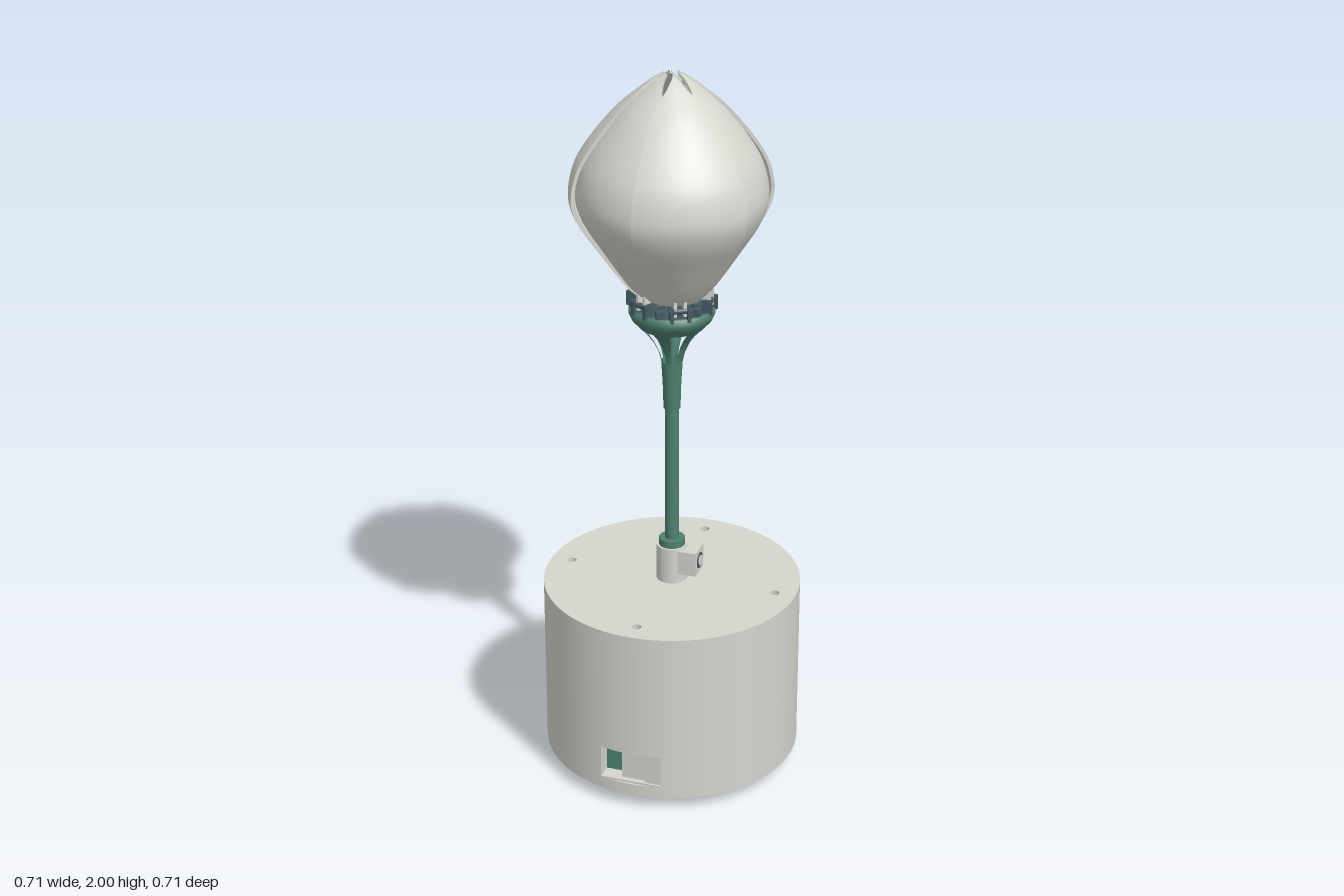
import * as THREE from 'three';
import { toCreasedNormals } from 'three/addons/utils/BufferGeometryUtils.js';

const mat = (name, color) => {
  const m = new THREE.MeshStandardMaterial({ color, side: THREE.DoubleSide });
  m.name = name;
  return m;
};

export function createModel() {
  const model = new THREE.Group();
  model.name = 'mechanicalFlower';
  const light = mat('warmLightGrey', 0xd4d5cd);
  const green = mat('stemGreen', 0x4e8070);
  const slate = mat('darkSlate', 0x465a62);
  const TAU = Math.PI * 2, rad = THREE.MathUtils.degToRad;

  const add = (name, geo, material, x = 0, y = 0, z = 0, parent = model) => {
    const m = new THREE.Mesh(geo, material);
    m.name = name;
    m.position.set(x, y, z);
    parent.add(m);
    return m;
  };
  const cyl = (name, r0, r1, y0, y1, material, x = 0, z = 0, parent = model) =>
    add(name, new THREE.CylinderGeometry(r1, r0, y1 - y0, 40), material, x, (y0 + y1) / 2, z, parent);
  const box = (name, w, h, d, material, x, y, z, parent = model) =>
    add(name, new THREE.BoxGeometry(w, h, d), material, x, y, z, parent);
  const lathe = (pts, seg = 48, start = 0, len = TAU) =>
    new THREE.LatheGeometry(pts.map(p => new THREE.Vector2(...p)), seg, start, len);

  // Flat disc lying in the ground plane, with holes
  const disc = (r, depth, holes) => {
    const s = new THREE.Shape().absarc(0, 0, r, 0, TAU);
    s.holes = holes;
    return new THREE.ExtrudeGeometry(s, { depth, bevelEnabled: false, curveSegments: 48 }).rotateX(-Math.PI / 2);
  };
  const quarters = [[1, 0], [0, 1], [-1, 0], [0, -1]];

  // Base drum: wall bands around the front window, lid and floor
  const R = 0.357, W0 = -0.255, W1 = 0.242;
  const band = (y0, y1, start, len) => add('baseWall',
    new THREE.CylinderGeometry(R, R, y1 - y0, 96, 1, true, start, len), light, 0, (y0 + y1) / 2, 0);
  band(0.04, 0.075, 0, TAU);
  band(0.075, 0.172, W1, TAU - (W1 - W0));
  band(0.172, 0.54, 0, TAU);
  add('baseLid', disc(R, 0.03, quarters.map(([x, y]) =>
    new THREE.Path().absarc(x * 0.298, y * 0.298, 0.013, 0, TAU))), light, 0, 0.51, 0);
  const slot = (x, z) => new THREE.Path([[-1, -1], [1, -1], [1, 1], [-1, 1]].map(
    ([a, b]) => new THREE.Vector2(x + a * 0.009, -z + b * 0.04)));
  add('baseFloor', disc(R, 0.025, [slot(0.067, -0.15), slot(-0.225, -0.18)]), light, 0, 0.04, 0);
  quarters.forEach(([x, z]) => cyl('foot', 0.037, 0.037, 0, 0.04, light, x * 0.262, z * 0.262));

  // Window recess with its connector
  for (const y of [0.072, 0.175]) box('windowSill', 0.18, 0.006, 0.08, light, -0.002, y, 0.303);
  for (const x of [-0.093, 0.088]) box('windowJamb', 0.006, 0.1, 0.08, light, x, 0.1235, 0.303);
  box('windowBack', 0.18, 0.1, 0.006, light, -0.002, 0.1235, 0.263);
  box('connectorCentre', 0.068, 0.096, 0.06, light, 0, 0.1235, 0.3);
  box('connectorSide', 0.05, 0.096, 0.07, light, 0.06, 0.1235, 0.303);
  box('greenConnector', 0.054, 0.07, 0.03, green, -0.062, 0.11, 0.285);
  box('darkConnector', 0.054, 0.025, 0.03, slate, -0.062, 0.158, 0.285);

  // Collar and clamp screw
  cyl('collar', 0.043, 0.043, 0.54, 0.645, light);
  box('clampBlock', 0.052, 0.07, 0.07, light, 0.054, 0.605, 0);
  const screw = cyl('clampScrewRing', 0.022, 0.022, 0, 0.005, slate);
  screw.rotation.z = Math.PI / 2;
  screw.position.set(0.08, 0.605, 0);
  const pin = cyl('clampScrew', 0.015, 0.015, 0, 0.009, light);
  pin.rotation.z = Math.PI / 2;
  pin.position.set(0.0805, 0.605, 0);
  cyl('stemRing', 0.036, 0.036, 0.645, 0.665, green);

  // Stem, then a flared cup with six slots
  add('stem', lathe([[0.019, 0.64], [0.019, 1.06], [0.023, 1.06], [0.025, 1.13], [0.029, 1.2]]), green);
  const flare = [[0.029, 1.2], [0.035, 1.225], [0.049, 1.255], [0.071, 1.285], [0.088, 1.303]];
  for (let k = 0; k < 6; k++)
    add('cupRib', lathe(flare, 8, rad(30 + 60 * k + 15), rad(30)), green);
  add('cupRim', lathe([[0.088, 1.303], [0.108, 1.325], [0.115, 1.34], [0.115, 1.36], [0.1, 1.36], [0.1, 1.34], [0.08, 1.303]]), green);
  cyl('pushRod', 0.007, 0.007, 1.15, 1.41, green);
  cyl('hubPlate', 0.1, 0.1, 1.342, 1.358, slate);
  cyl('hub', 0.025, 0.025, 1.358, 1.375, slate);
  cyl('hubCap', 0.011, 0.011, 1.375, 1.415, slate);

  // Hinges around the rim, one per petal
  for (let k = 0; k < 6; k++) {
    const hinge = new THREE.Group();
    hinge.name = 'hinge';
    hinge.rotation.y = -k * TAU / 6;
    model.add(hinge);
    box('hingeArm', 0.07, 0.012, 0.02, slate, 0.055, 1.366, 0, hinge);
    for (const s of [-1, 1]) {
      box('hingeCheek', 0.026, 0.04, 0.009, slate, 0.106, 1.375, s * 0.023, hinge);
      box('petalLug', 0.022, 0.045, 0.008, light, 0.1, 1.392, s * 0.013, hinge);
    }
    const axle = cyl('hingeAxle', 0.008, 0.008, 0, 0.06, slate, 0, 0, hinge);
    axle.rotation.x = Math.PI / 2;
    axle.position.set(0.107, 1.385, 0);
    box('rimBlock', 0.018, 0.025, 0.022, slate, 0.1 * Math.cos(rad(30)), 1.368, 0.1 * Math.sin(rad(30)), hinge);
  }

  // Petals: curved shells lofted from arc sections along the bud profile
  const profile = new THREE.CatmullRomCurve3([
    [0.096, 1.395], [0.125, 1.425], [0.2, 1.53], [0.252, 1.61], [0.27, 1.665], [0.262, 1.73],
    [0.238, 1.785], [0.148, 1.9], [0.085, 1.955], [0.05, 1.982], [0.022, 2.0],
  ].map(([r, y]) => new THREE.Vector3(r, y, 0)));
  const halfAngle = (r, upper) => {
    if (!upper || r > 0.11) return 34;
    if (r > 0.085) return 30 + (r - 0.085) * 160;
    return r > 0.05 ? 19 + (r - 0.05) * 314 : 5 + Math.max(0, r - 0.022) * 500;
  };
  const petalGeometry = (scale) => {
    const rows = 44, cols = 16, ring = 2 * (cols + 1), pos = [], idx = [];
    for (let i = 0; i <= rows; i++) {
      const p = profile.getPoint(i / rows), t = profile.getTangent(i / rows);
      const a = rad(halfAngle(p.x, p.y > 1.7));
      const th = 0.009;
      for (let j = 0; j < ring; j++) {
        const outer = j <= cols;
        const u = outer ? j / cols : (ring - 1 - j) / cols;
        const r = (outer ? p.x : Math.max(0.012, p.x - th * t.y)) * scale;
        const y = outer ? p.y : p.y + th * t.x;
        const ang = (2 * u - 1) * a;
        pos.push(r * Math.cos(ang), Math.min(y, 2), r * Math.sin(ang));
      }
    }
    for (let i = 0; i < rows; i++)
      for (let j = 0; j < ring; j++) {
        const b = i * ring + j, c = i * ring + (j + 1) % ring;
        idx.push(b, b + ring, c, c, b + ring, c + ring);
      }
    // close both ends
    for (let j = 0; j < cols; j++) {
      const m = ring - 1 - j, e = rows * ring;
      idx.push(j, j + 1, m, j + 1, m - 1, m);
      idx.push(e + j, e + m, e + j + 1, e + j + 1, e + m, e + m - 1);
    }
    const g = new THREE.BufferGeometry();
    g.setAttribute('position', new THREE.Float32BufferAttribute(pos, 3));
    g.setIndex(idx);
    return toCreasedNormals(g, rad(40));
  };
  const innerPetal = petalGeometry(0.935), outerPetal = petalGeometry(1);
  for (let k = 0; k < 6; k++) {
    const petal = add(k % 2 ? 'outerPetal' : 'innerPetal', k % 2 ? outerPetal : innerPetal, light);
    petal.rotation.y = -k * TAU / 6;
  }
  return model;
}
